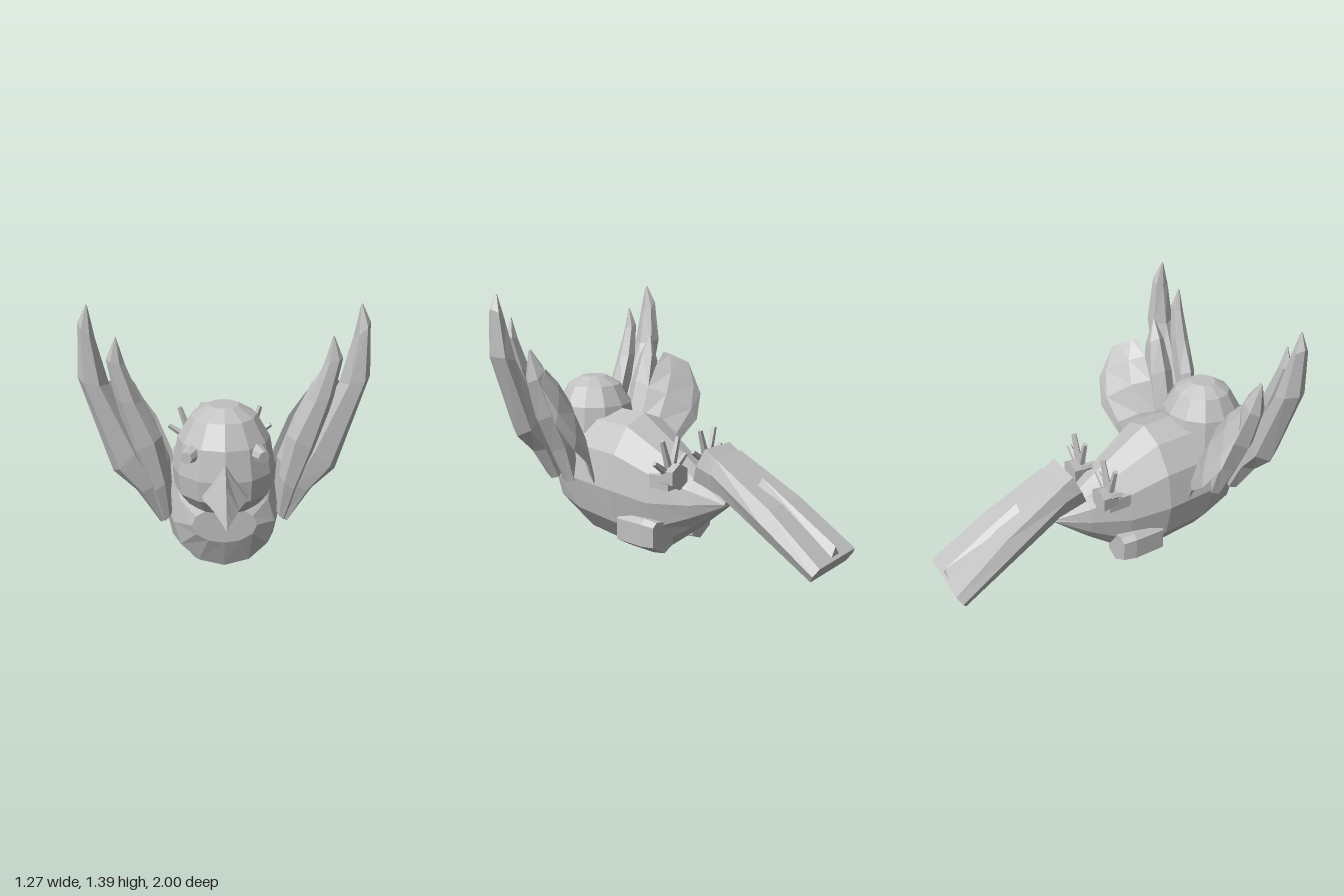
import * as THREE from 'three';

const grey = new THREE.MeshStandardMaterial({ color: 0xc0c0c0, flatShading: true });
grey.name = 'plain grey';

// Faceted solid through equal-sized rings of [x, y, z], closed at both ends, always facing outward
function loft(rings) {
  const tris = [];
  const n = rings[0].length;
  const middle = r => [0, 1, 2].map(k => r.reduce((s, p) => s + p[k], 0) / n);
  for (let i = 0; i < rings.length - 1; i++) {
    for (let j = 0; j < n; j++) {
      const a = rings[i][j], b = rings[i][(j + 1) % n];
      const c = rings[i + 1][(j + 1) % n], d = rings[i + 1][j];
      tris.push([a, b, c], [a, c, d]);
    }
  }
  const first = rings[0], last = rings[rings.length - 1];
  for (let j = 0; j < n; j++) {
    tris.push([middle(first), first[(j + 1) % n], first[j]]);
    tris.push([middle(last), last[j], last[(j + 1) % n]]);
  }
  const v = p => new THREE.Vector3(...p);
  const volume = tris.reduce((s, [a, b, c]) => s + v(a).dot(v(b).cross(v(c))), 0);
  const points = tris.flatMap(([a, b, c]) => (volume > 0 ? [a, b, c] : [a, c, b])).flat();
  const g = new THREE.BufferGeometry();
  g.setAttribute('position', new THREE.Float32BufferAttribute(points, 3));
  g.computeVertexNormals();
  return g;
}

// Six-sided blade between an inner and an outer edge (x, y), running in z from root to tip;
// sweep carries the outer edge backward
function feather(side, inner, outer, [rootZ, tipZ], thick, sweep = 0) {
  const normal = sweep ? [0.35, 0.35, -0.87] : [0, 0, 1];
  return loft(inner.map((p, i) => {
    const u = i / (inner.length - 1);
    const z = rootZ + (tipZ - rootZ) * Math.sqrt(u);
    const a = [...p, z];
    const b = [...outer[i], z - sweep * Math.sin(Math.PI * (0.15 + 0.7 * u))];
    const t = thick * Math.sin(Math.PI * (0.2 + 0.78 * u));
    const at = (f, s) => a.map((q, k) => q + (b[k] - q) * f + normal[k] * t * s);
    return [at(0, 0), at(0.25, 1), at(0.75, 1), at(1, 0), at(0.75, -1), at(0.25, -1)]
      .map(([x, y, w]) => [x * side, y, w]);
  }));
}

// Four-sided beak through sections [z, top, corner height, bottom, half width]
const beak = list => loft(list.map(([z, top, mid, low, w]) =>
  [[0, top, z], [w, mid, z], [0, low, z], [-w, mid, z]]));

// Tail slab through sections [top z, top y, bottom z, bottom y, face half width, rim half width]
const slab = list => loft(list.map(([z1, y1, z2, y2, w, rim]) => {
  const z = (z1 + z2) / 2, y = (y1 + y2) / 2;
  return [[-w, y1, z1], [w, y1, z1], [rim, y, z], [w, y2, z2], [-w, y2, z2], [-rim, y, z]];
}));

export function createModel() {
  const model = new THREE.Group();
  model.name = 'bird';
  const add = (name, geometry, parent = model) => {
    const m = new THREE.Mesh(geometry, grey);
    m.name = name;
    parent.add(m);
    return m;
  };

  // Body: oval slices [z, bottom, top, half width]
  const slices = [
    [0.71, 0.29, 0.47, 0.15], [0.65, 0.14, 0.6, 0.235], [0.47, 0.04, 0.76, 0.285],
    [0.2, 0.005, 0.75, 0.285], [0, 0.04, 0.62, 0.215], [-0.2, 0.19, 0.485, 0.13],
    [-0.37, 0.335, 0.37, 0.04],
  ];
  add('body', loft(slices.map(([z, low, high, w]) => Array.from({ length: 12 }, (_, i) => {
    const a = (i / 12) * Math.PI * 2;
    return [Math.sin(a) * w, (low + high) / 2 + Math.cos(a) * (high - low) / 2, z];
  }))));

  // Head
  const profile = [[0, 0.415], [0.09, 0.415], [0.175, 0.46], [0.228, 0.53], [0.238, 0.63],
    [0.212, 0.77], [0.15, 0.875], [0.07, 0.922], [0, 0.922]];
  add('head', new THREE.LatheGeometry(profile.map(p => new THREE.Vector2(...p)), 12))
    .position.z = 0.58;

  // Beak
  add('upperBeak', beak([[0.77, 0.72, 0.56, 0.53, 0.105], [0.83, 0.71, 0.56, 0.54, 0.095],
    [0.91, 0.66, 0.55, 0.53, 0.055], [0.965, 0.58, 0.525, 0.515, 0.025], [1, 0.5, 0.5, 0.499, 0.001]]));
  add('lowerBeak', beak([[0.74, 0.56, 0.54, 0.47, 0.08], [0.935, 0.52, 0.515, 0.51, 0.006]]));

  // Tail with a low ridge on top
  add('tailBase', slab([[-0.295, 0.645, -0.22, 0.47, 0.105, 0.13], [-0.38, 0.59, -0.4, 0.415, 0.1, 0.12]]));
  add('tail', slab([[-0.36, 0.61, -0.34, 0.455, 0.11, 0.135],
    [-0.7, 0.422, -0.64, 0.3, 0.14, 0.175], [-0.995, 0.215, -0.95, 0.14, 0.17, 0.195]]));
  add('tailRidge', loft([[-0.57, 0.525, 0.055], [-0.98, 0.27, 0.035]].map(([z, y, w]) =>
    [[0, y, z], [w, y - 0.045, z], [-w, y - 0.045, z]])));

  for (const side of [1, -1]) {
    const label = side > 0 ? 'left' : 'right';

    // Wing: three upright feathers and a broad one behind
    const wing = new THREE.Group();
    wing.name = label + 'Wing';
    model.add(wing);
    add('innerFeather', feather(side,
      [[0.24, 0.43], [0.245, 0.62], [0.275, 0.82], [0.36, 0.98], [0.425, 1.15], [0.457, 1.265]],
      [[0.28, 0.39], [0.33, 0.55], [0.41, 0.75], [0.475, 1], [0.505, 1.17], [0.462, 1.27]],
      [0.67, 0.728], 0.05), wing);
    add('longFeather', feather(side,
      [[0.25, 0.42], [0.28, 0.6], [0.36, 0.78], [0.5, 1.05], [0.55, 1.25], [0.575, 1.39]],
      [[0.3, 0.37], [0.4, 0.54], [0.5, 0.64], [0.635, 1.08], [0.622, 1.32], [0.582, 1.4]],
      [0.63, 0.69], 0.075), wing);
    add('middleFeather', feather(side,
      [[0.24, 0.42], [0.25, 0.65], [0.32, 0.85], [0.4, 1.02], [0.47, 1.115]],
      [[0.3, 0.37], [0.37, 0.55], [0.45, 0.73], [0.5, 0.94], [0.485, 1.1]],
      [0.51, 0.57], 0.075), wing);
    add('backFeather', feather(side,
      [[0.21, 0.45], [0.245, 0.65], [0.31, 0.82], [0.39, 0.94], [0.47, 1.02]],
      [[0.27, 0.37], [0.38, 0.53], [0.5, 0.63], [0.585, 0.77], [0.585, 0.95]],
      [0.42, 0.46], 0.045, 0.22), wing);

    // Eye: faceted stud facing outward
    const eye = add(label + 'Eye', new THREE.CylinderGeometry(0.028, 0.042, 0.07, 8).rotateX(Math.PI / 2));
    eye.position.set(side * 0.155, 0.74, 0.75);
    eye.rotation.y = side * 0.45;

    // Thigh: chamfered block against the belly
    const thigh = [[0.1, 0.23], [0.23, 0.25], [0.26, 0.225], [0.26, 0.105], [0.16, 0.045], [0.08, 0.08]];
    add(label + 'Thigh', loft([[0.175, 0.97], [0, 1], [-0.07, 0.9]].map(([z, s]) =>
      thigh.map(([x, y]) => [side * (0.1 + (x - 0.1) * s), 0.14 + (y - 0.14) * s, z]))));

    // Foot: knob with a fan of toes
    const foot = new THREE.Group();
    foot.name = label + 'Foot';
    foot.position.set(side * 0.155, 0.49, -0.13);
    model.add(foot);
    add('shank', new THREE.BoxGeometry(0.06, 0.07, 0.13), foot).position.set(side * 0.01, -0.04, 0.065);
    add('knob', new THREE.CylinderGeometry(0.06, 0.07, 0.09, 6).rotateX(Math.PI / 2), foot);
    for (const i of [-1.5, -0.5, 0.5, 1.5]) {
      const length = Math.abs(i) > 1 ? 0.15 : 0.2;
      const toe = add('toe', new THREE.CylinderGeometry(0.014, 0.024, length, 5)
        .translate(0, length / 2, 0), foot);
      toe.position.z = 0.02;
      toe.rotation.z = i * 0.64;
    }
  }
  return model;
}
